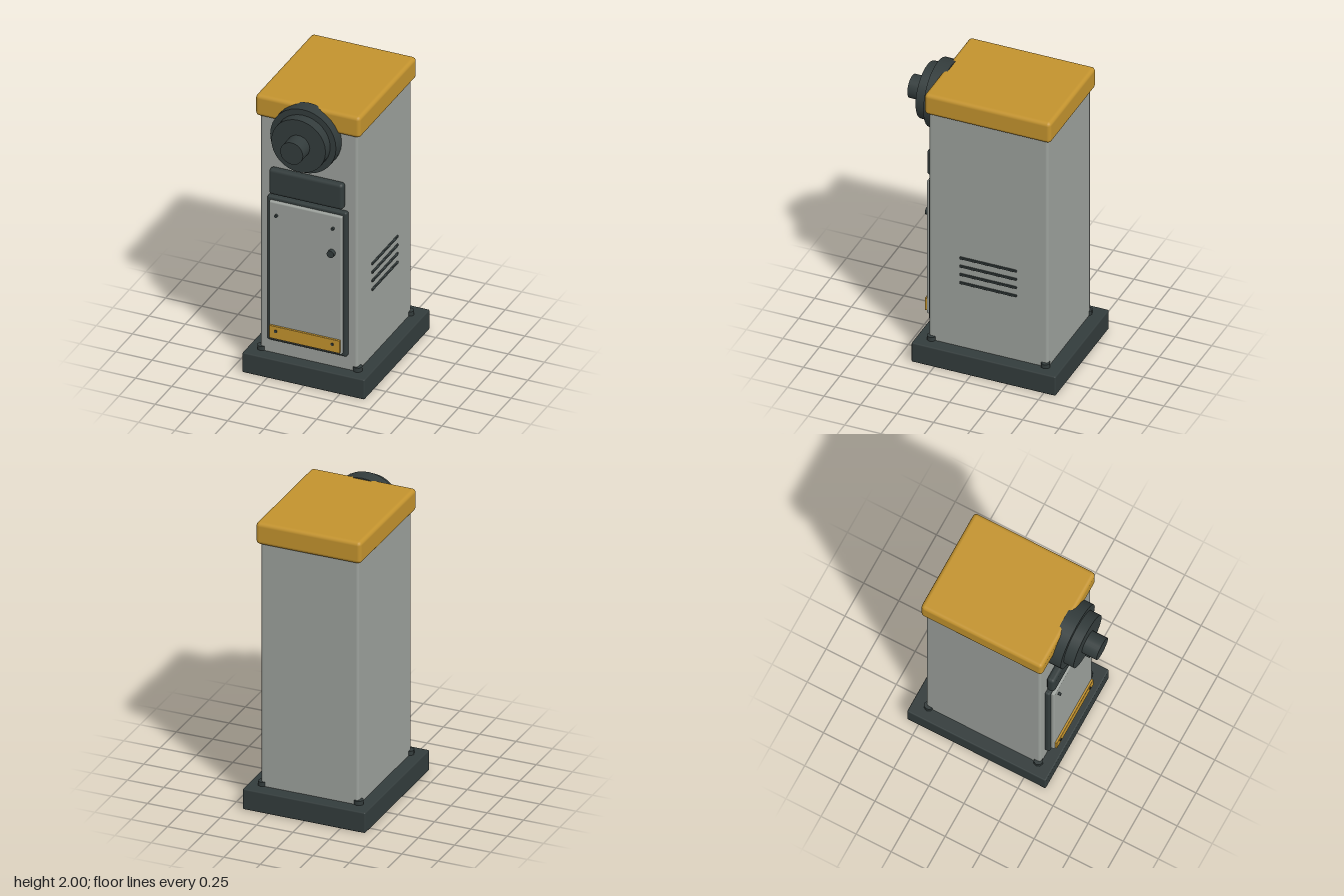
import * as THREE from 'three';
import { RoundedBoxGeometry } from 'three/addons/geometries/RoundedBoxGeometry.js';

const material = (name, color) => {
  const m = new THREE.MeshStandardMaterial({ color });
  m.name = name;
  return m;
};

export function createModel() {
  const grey = material('cabinet grey', 0x9ca19c);
  const dark = material('charcoal', 0x333c3c);
  const amber = material('amber', 0xc3932e);

  const model = new THREE.Group();
  model.name = 'barrierCabinet';

  // Rounded box given by its limits on each axis
  const box = (name, mat, [x0, x1], [y0, y1], [z0, z1], radius) => {
    const geo = new RoundedBoxGeometry(x1 - x0, y1 - y0, z1 - z0, 2, radius);
    const mesh = new THREE.Mesh(geo, mat);
    mesh.name = name;
    mesh.position.set((x0 + x1) / 2, (y0 + y1) / 2, (z0 + z1) / 2);
    model.add(mesh);
  };

  // Disc facing forward, from z0 to z1
  const disc = (name, x, y, z0, z1, radius, sides) => {
    const geo = new THREE.CylinderGeometry(radius, radius, z1 - z0, sides).rotateX(Math.PI / 2);
    const mesh = new THREE.Mesh(geo, dark);
    mesh.name = name;
    mesh.position.set(x, y, (z0 + z1) / 2);
    model.add(mesh);
  };

  // Plinth, cabinet and lid
  box('base', dark, [-0.422, 0.422], [0, 0.143], [-0.582, 0.405], 0.009);
  box('body', grey, [-0.336, 0.336], [0.125, 1.865], [-0.493, 0.322], 0.018);
  box('lid', amber, [-0.362, 0.362], [1.838, 1.99], [-0.52, 0.345], 0.026);

  // Anchor bolts at the four corners of the base
  for (const x of [-0.33, 0.33]) {
    for (const z of [0.305, -0.475]) {
      const bolt = new THREE.Mesh(new THREE.CylinderGeometry(0.031, 0.031, 0.045, 8), dark);
      bolt.name = 'anchorBolt';
      bolt.position.set(x, 0.15, z);
      model.add(bolt);
    }
  }

  // Stepped boom hub
  disc('hubFlange', 0, 1.773, 0.312, 0.408, 0.227, 32);
  disc('hubDisc', 0, 1.773, 0.4, 0.478, 0.187, 32);
  disc('hubShaft', 0, 1.773, 0.47, 0.582, 0.078, 24);

  // Display panel, door frame, door and kick plate
  box('displayPanel', dark, [-0.256, 0.256], [1.31, 1.495], [0.319, 0.375], 0.022);
  box('doorFrame', dark, [-0.275, 0.275], [0.245, 1.288], [0.312, 0.354], 0.014);
  box('door', grey, [-0.252, 0.252], [0.268, 1.265], [0.33, 0.376], 0.011);
  box('kickPlate', amber, [-0.243, 0.243], [0.285, 0.376], [0.37, 0.39], 0.003);

  // Door screws and lock
  for (const x of [-0.197, 0.193]) {
    disc('doorScrew', x, 1.173, 0.37, 0.394, 0.01, 8);
    disc('plateScrew', x, 0.342, 0.38, 0.396, 0.01, 8);
  }
  disc('doorLock', 0.185, 0.995, 0.37, 0.404, 0.025, 12);

  // Vent slats on the left side
  for (let i = 0; i < 4; i++) {
    const y = 0.624 + i * 0.062;
    box('ventSlat', dark, [0.328, 0.346], [y - 0.008, y + 0.008], [-0.28, 0.11], 0.004);
  }

  return model;
}
